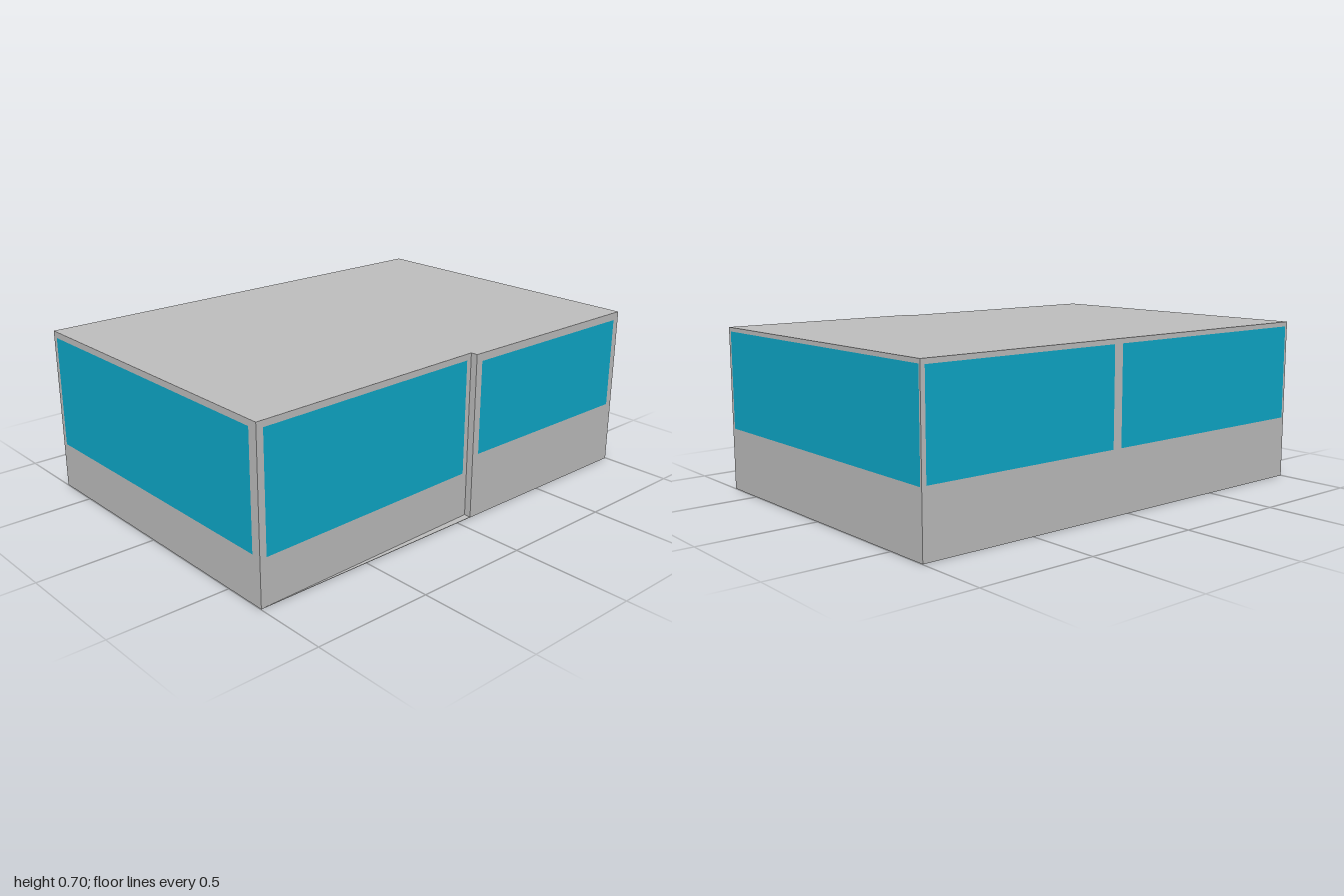
import * as THREE from 'three';

export function createModel() {
  const group = new THREE.Group();
  const wall = new THREE.MeshStandardMaterial({ color: 0xc0c0c0 });
  wall.name = 'light grey wall';
  const glass = new THREE.MeshStandardMaterial({ color: 0x0eabcc });
  glass.name = 'blue glass';

  const W = 0.69, H = 0.7, D = 0.998, stepZ = -0.075, stepX = 0.66, gap = 0.002;

  // Block: its left wall steps in halfway and slants back out to the front corner
  const plan = new THREE.Shape(
    [[-W, -D], [W, -D], [stepX, -stepZ], [W, -stepZ], [W, D], [-W, D]]
      .map(([x, y]) => new THREE.Vector2(x, y)));
  const bodyGeo = new THREE.ExtrudeGeometry(plan, { depth: H - gap, bevelEnabled: false });
  bodyGeo.rotateX(-Math.PI / 2);
  const body = new THREE.Mesh(bodyGeo, wall);
  body.name = 'buildingBlock';
  body.position.y = gap;
  group.add(body);

  // Thin full rectangular floor, showing as a sliver under the slanted wall
  const floor = new THREE.Mesh(new THREE.BoxGeometry(2 * W, gap, 2 * D), wall);
  floor.name = 'floor';
  floor.position.y = gap / 2;
  group.add(floor);

  // Glass pane standing just proud of a wall, turned about y to face outward
  function pane(name, width, y0, y1, x, z, angle) {
    const mesh = new THREE.Mesh(new THREE.PlaneGeometry(width, y1 - y0), glass);
    mesh.name = name;
    mesh.rotation.y = angle;
    mesh.position.set(x + gap * Math.sin(angle), (y0 + y1) / 2, z + gap * Math.cos(angle));
    group.add(mesh);
  }

  const quarter = Math.PI / 2;
  pane('frontWindow', 1.315, 0.2, 0.675, -0.007, D, 0);
  pane('backWindow', 1.355, 0.267, 0.683, -0.007, -D, Math.PI);
  pane('leftBackWindow', 0.86, 0.275, 0.668, W, -0.535, quarter);
  pane('rightBackWindow', 0.89, 0.27, 0.68, -W, -0.535, -quarter);
  pane('rightFrontWindow', 1.03, 0.27, 0.68, -W, 0.468, -quarter);

  // Pane following the slanted wall
  const slope = (W - stepX) / (D - stepZ), midZ = 0.46;
  pane('leftFrontWindow', 1.02, 0.195, 0.675, stepX + slope * (midZ - stepZ), midZ,
    quarter + Math.atan(slope));

  return group;
}
